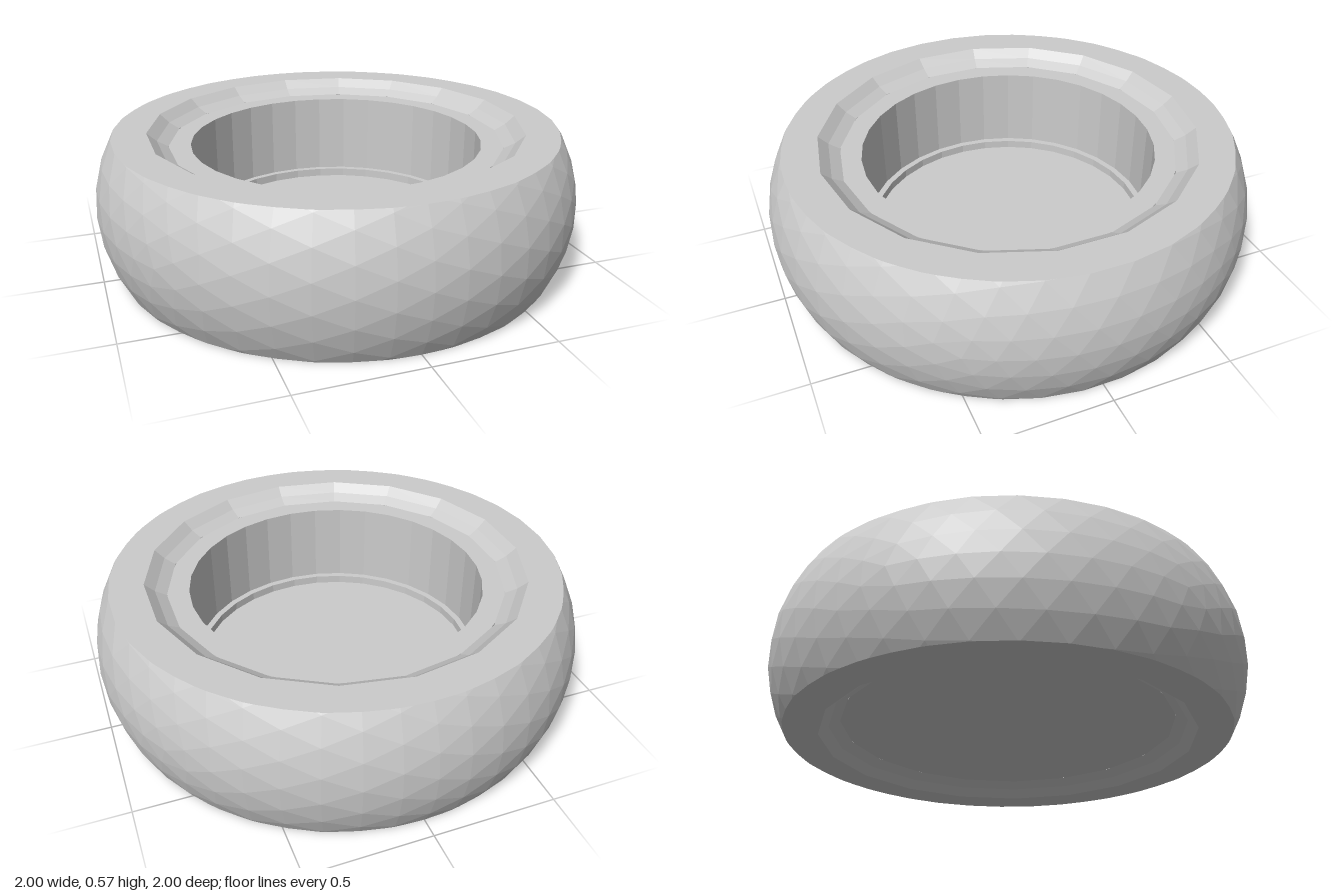
import * as THREE from 'three';

const H = 0.285;          // half the tyre width
const BEVEL_SIDES = 18;
const BEVEL_R = 0.78;

// Cut a polygon with the plane y * sign <= H
function clip(poly, sign) {
  const out = [];
  poly.forEach((a, i) => {
    const b = poly[(i + 1) % poly.length];
    const da = H - a.y * sign, db = H - b.y * sign;
    if (da >= 0) out.push(a);
    if (da * db < 0) {
      const p = a.clone().lerp(b, da / (da - db));
      p.y = H * sign;
      out.push(p);
    }
  });
  return out;
}

// Faceted ball, flattened and sliced at both ends; also returns the slice outline
function slicedBall() {
  const ball = new THREE.IcosahedronGeometry(1, 7).scale(1, 0.727, 1);
  const src = ball.attributes.position;
  const verts = [];
  const rim = new Map();
  for (let i = 0; i < src.count; i += 3) {
    const tri = [0, 1, 2].map(k => new THREE.Vector3().fromBufferAttribute(src, i + k));
    const poly = clip(clip(tri, 1), -1);
    for (let k = 1; k < poly.length - 1; k++) verts.push(poly[0], poly[k], poly[k + 1]);
    for (const p of poly) {
      if (p.y === H) rim.set(`${p.x.toFixed(4)},${p.z.toFixed(4)}`, new THREE.Vector2(p.x, -p.z));
    }
  }
  const geometry = new THREE.BufferGeometry().setFromPoints(verts);
  geometry.computeVertexNormals();
  const outline = [...rim.values()].sort((a, b) => Math.atan2(a.y, a.x) - Math.atan2(b.y, b.x));
  return { geometry, outline };
}

const lathe = (pts, sides) =>
  new THREE.LatheGeometry(pts.map(([r, y]) => new THREE.Vector2(r, y)), sides);

export function createModel() {
  const group = new THREE.Group();
  const material = new THREE.MeshStandardMaterial({
    color: 0xcccccc, flatShading: true, side: THREE.DoubleSide,
  });
  const add = (name, geometry, y = 0) => {
    const mesh = new THREE.Mesh(geometry, material);
    mesh.name = name;
    mesh.position.y = y;
    group.add(mesh);
  };

  // Bulging tread
  const { geometry, outline } = slicedBall();
  add('tread', geometry, H);

  // Flat sidewalls with a coarse polygonal opening
  const sidewall = new THREE.Shape(outline);
  const hole = [];
  for (let i = 0; i < BEVEL_SIDES; i++) {
    const a = (i / BEVEL_SIDES) * Math.PI * 2;
    hole.push(new THREE.Vector2(Math.sin(a) * BEVEL_R, Math.cos(a) * BEVEL_R));
  }
  sidewall.holes.push(new THREE.Path(hole));
  add('topSidewall', new THREE.ShapeGeometry(sidewall).rotateX(-Math.PI / 2), 2 * H);
  add('bottomSidewall', new THREE.ShapeGeometry(sidewall).rotateX(Math.PI / 2), 0);

  // Sloped beads leading in to the rim
  add('topBead', lathe([[BEVEL_R, 0.57], [0.74, 0.535], [0.695, 0.51]], BEVEL_SIDES));
  add('bottomBead', lathe([[0.695, 0.062], [0.74, 0.035], [BEVEL_R, 0]], BEVEL_SIDES));

  // Cup-shaped rim: closed underneath, deep bore with a small step at the floor
  add('rim', lathe([
    [0, 0.062], [0.695, 0.062], [0.695, 0.51], [0.605, 0.51],
    [0.605, 0.16], [0.578, 0.16], [0.578, 0.125], [0, 0.125],
  ], 32));

  return group;
}
